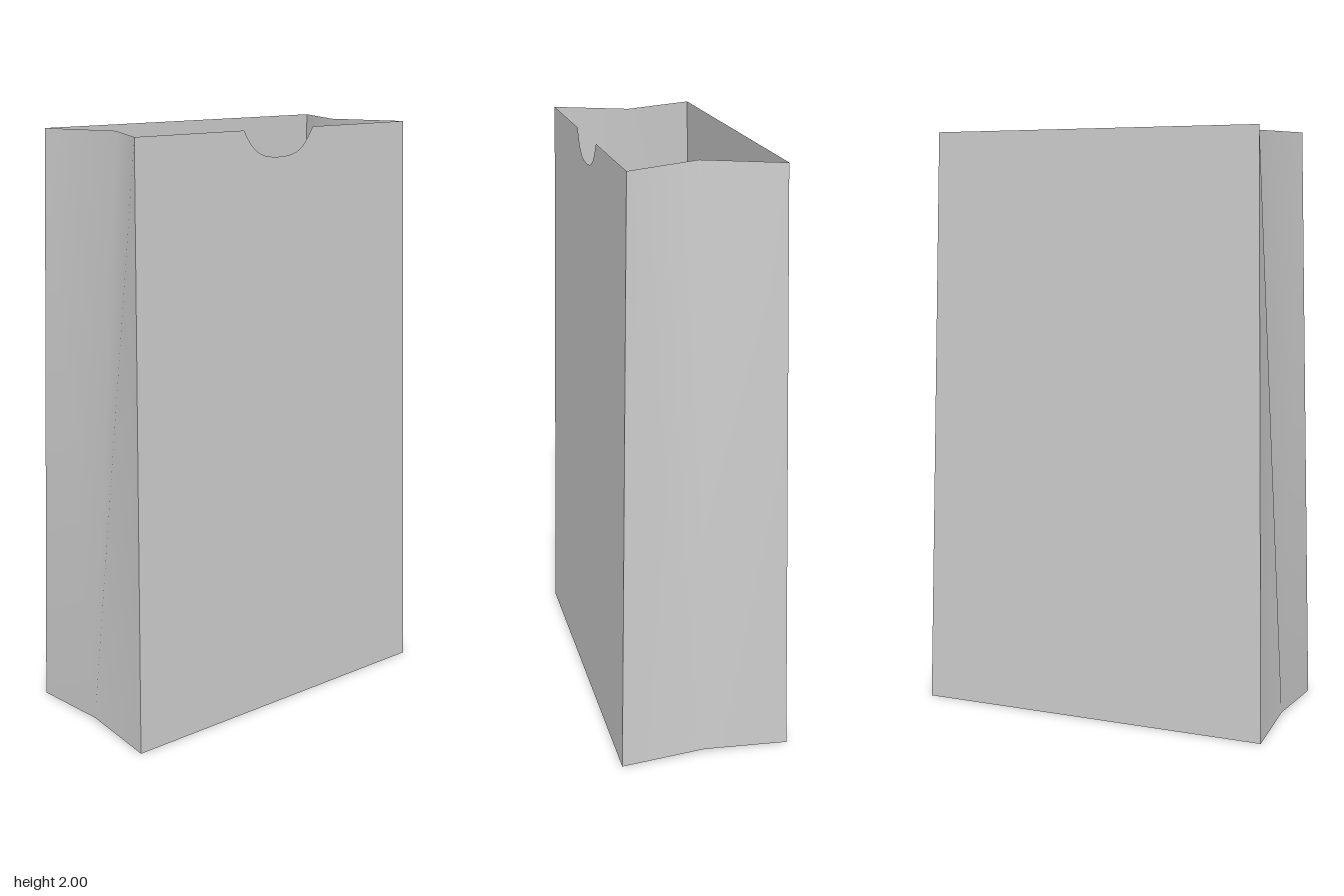
import * as THREE from 'three';

const H = 2;
const BASE = { x: 0.62, z: 0.29 };   // half sizes at the floor
const RIM = { x: 0.573, z: 0.247 };  // half sizes at the open top
const FOLD = { baseX: 0.605, baseY: 0.01, rimX: 0.467 }; // gusset crease

const material = new THREE.MeshStandardMaterial({ color: 0xcccccc, side: THREE.DoubleSide });

function addMesh(group, name, geometry) {
  geometry.computeVertexNormals();
  const mesh = new THREE.Mesh(geometry, material);
  mesh.name = name;
  group.add(mesh);
  return mesh;
}

// Broad panel drawn flat, then leaned inward towards the rim
function panelGeometry(withNotch) {
  const shape = new THREE.Shape();
  shape.moveTo(-BASE.x, 0);
  shape.lineTo(BASE.x, 0);
  shape.lineTo(RIM.x, H);
  if (withNotch) {
    // rounded thumb notch
    shape.lineTo(0.147, H);
    shape.bezierCurveTo(0.11, 1.935, 0.085, 1.91, 0, 1.91);
    shape.bezierCurveTo(-0.085, 1.91, -0.11, 1.935, -0.147, H);
  }
  shape.lineTo(-RIM.x, H);
  const geometry = new THREE.ShapeGeometry(shape, 10);
  const p = geometry.attributes.position;
  for (let i = 0; i < p.count; i++) {
    p.setZ(i, THREE.MathUtils.lerp(BASE.z, RIM.z, p.getY(i) / H));
  }
  return geometry;
}

// Side folded inward along its middle; the shared crease keeps it softly shaded
function gussetGeometry() {
  const geometry = new THREE.BufferGeometry();
  geometry.setAttribute('position', new THREE.Float32BufferAttribute([
    BASE.x, 0, BASE.z, FOLD.baseX, FOLD.baseY, 0, BASE.x, 0, -BASE.z,
    RIM.x, H, RIM.z, FOLD.rimX, H, 0, RIM.x, H, -RIM.z,
  ], 3));
  geometry.setIndex([0, 1, 3, 1, 4, 3, 1, 2, 5, 1, 5, 4]);
  return geometry;
}

// Floor, with its short edges lifted slightly where the gussets fold
function floorGeometry() {
  const shape = new THREE.Shape([
    [-BASE.x, -BASE.z], [BASE.x, -BASE.z], [FOLD.baseX, 0],
    [BASE.x, BASE.z], [-BASE.x, BASE.z], [-FOLD.baseX, 0],
  ].map(([x, y]) => new THREE.Vector2(x, y)));
  const geometry = new THREE.ShapeGeometry(shape).rotateX(Math.PI / 2);
  const p = geometry.attributes.position;
  for (let i = 0; i < p.count; i++) {
    p.setY(i, Math.abs(p.getZ(i)) < 0.01 ? FOLD.baseY : 0);
  }
  return geometry.toNonIndexed();
}

export function createModel() {
  const bag = new THREE.Group();
  bag.name = 'paperBag';
  addMesh(bag, 'frontPanel', panelGeometry(true));
  addMesh(bag, 'backPanel', panelGeometry(false)).rotation.y = Math.PI;
  addMesh(bag, 'leftGusset', gussetGeometry());
  addMesh(bag, 'rightGusset', gussetGeometry()).rotation.y = Math.PI;
  addMesh(bag, 'floor', floorGeometry());
  return bag;
}
